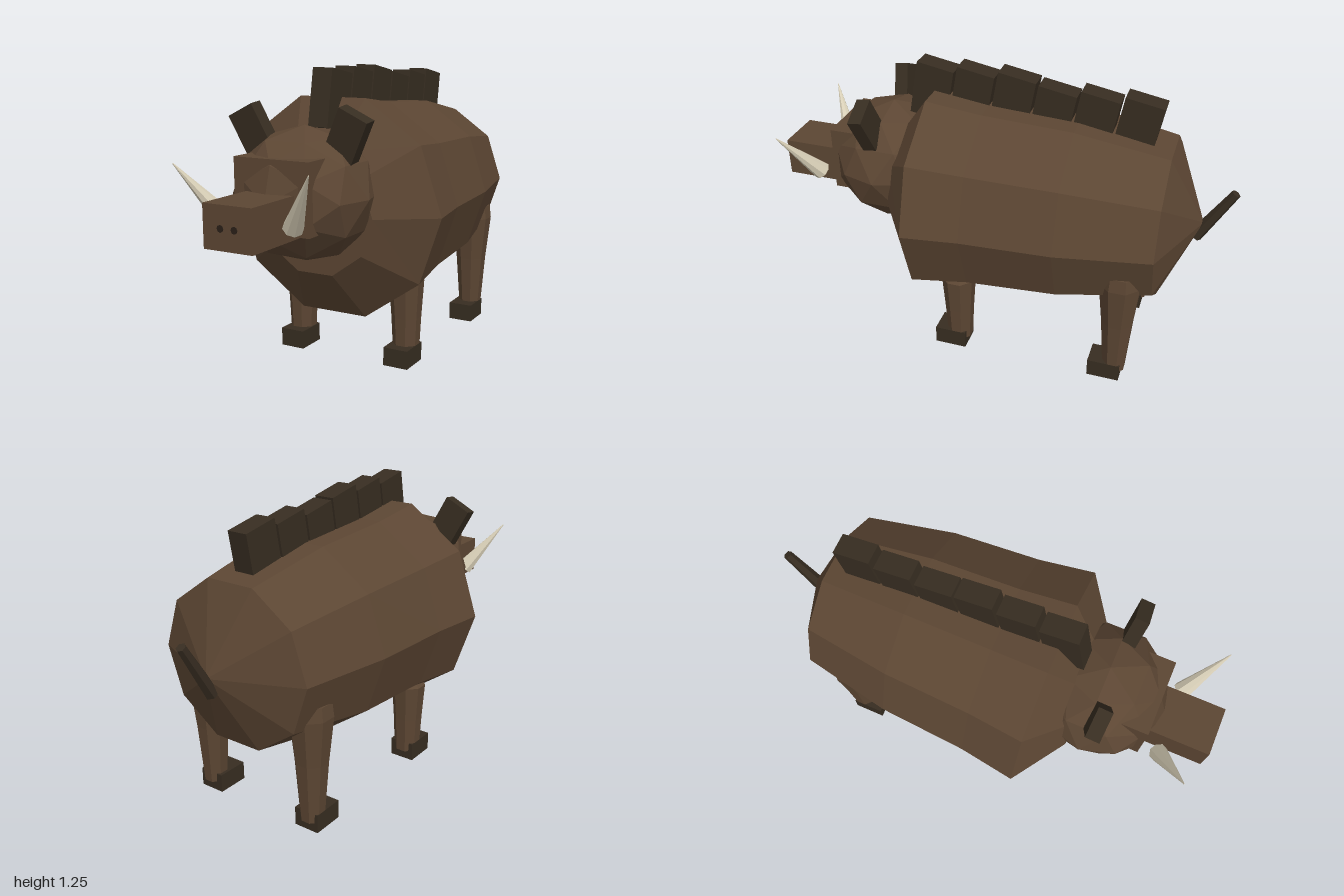
import * as THREE from 'three';

const paint = (name, color) => {
  const m = new THREE.MeshStandardMaterial({ color });
  m.name = name;
  return m;
};

// Faceted normals for every part
const facet = (geometry) => {
  const g = geometry.index ? geometry.toNonIndexed() : geometry;
  g.computeVertexNormals();
  return g;
};

// Closed skin through elliptical rings [z, centreY, radiusX, radiusY], front to back
function loft(rings, sides) {
  const pos = [], index = [];
  for (const [z, cy, rx, ry] of rings) {
    for (let i = 0; i < sides; i++) {
      const a = (i / sides) * Math.PI * 2;
      pos.push(rx * Math.cos(a), cy + ry * Math.sin(a), z);
    }
  }
  for (let r = 0; r < rings.length - 1; r++) {
    for (let i = 0; i < sides; i++) {
      const j = (i + 1) % sides;
      const a = r * sides + i, b = r * sides + j, c = a + sides, d = b + sides;
      if (rings[r][2] > 0) index.push(a, c, b);
      if (rings[r + 1][2] > 0) index.push(b, c, d);
    }
  }
  const g = new THREE.BufferGeometry();
  g.setAttribute('position', new THREE.Float32BufferAttribute(pos, 3));
  g.setIndex(index);
  return g;
}

export function createModel() {
  const model = new THREE.Group();
  model.name = 'boar';
  const hide = paint('brown hide', 0x5c4633);
  const bristle = paint('dark bristle', 0x372d21);
  const ivory = paint('ivory', 0xd9d0b8);
  const nostrilDark = paint('nostril dark', 0x2a2018);

  const add = (name, geometry, material, x = 0, y = 0, z = 0) => {
    const mesh = new THREE.Mesh(facet(geometry), material);
    mesh.name = name;
    mesh.position.set(x, y, z);
    model.add(mesh);
    return mesh;
  };
  const box = (name, w, h, d, material, x, y, z) =>
    add(name, new THREE.BoxGeometry(w, h, d), material, x, y, z);

  // Tapered rod running from one point to another
  const rod = (name, from, to, r0, r1, sides, material) => {
    const a = new THREE.Vector3(...from), b = new THREE.Vector3(...to);
    const dir = b.clone().sub(a);
    const mid = a.clone().add(b).multiplyScalar(0.5);
    const mesh = add(name, new THREE.CylinderGeometry(r1, r0, dir.length(), sides),
      material, mid.x, mid.y, mid.z);
    mesh.quaternion.setFromUnitVectors(new THREE.Vector3(0, 1, 0), dir.normalize());
  };

  // Barrel body
  add('body', loft([
    [0.44, 0.68, 0, 0],
    [0.44, 0.68, 0.265, 0.262],
    [0.29, 0.68, 0.49, 0.476],
    [0.05, 0.68, 0.455, 0.442],
    [-0.33, 0.68, 0.43, 0.42],
    [-0.72, 0.68, 0.355, 0.347],
    [-0.87, 0.68, 0, 0],
  ], 10), hide);

  // Head, muzzle plate and snout
  add('head', new THREE.IcosahedronGeometry(1, 1).scale(0.285, 0.27, 0.28), hide, 0, 0.77, 0.5);
  box('muzzle', 0.33, 0.28, 0.24, hide, 0, 0.795, 0.615);
  box('snout', 0.21, 0.165, 0.34, hide, 0, 0.7275, 0.828);

  // Ears, tusks and nostrils
  for (const s of [1, -1]) {
    const side = s > 0 ? 'left' : 'right';
    const ear = box(side + 'Ear', 0.127, 0.18, 0.06, bristle, s * 0.215, 1.015, 0.533);
    ear.rotation.set(0.12, 0, -s * 0.45);
    rod(side + 'Tusk', [s * 0.147, 0.708, 0.812], [s * 0.29, 0.925, 0.93], 0.04, 0.002, 8, ivory);
    add(side + 'Nostril', new THREE.CylinderGeometry(0.014, 0.014, 0.006, 8).rotateX(Math.PI / 2),
      nostrilDark, s * 0.03, 0.725, 0.997);
  }

  // Bristle blocks along the spine, taller over the shoulders
  for (let i = 0; i < 6; i++) {
    const block = box('maneBlock', 0.09, i < 3 ? 0.237 : 0.165, 0.162, bristle,
      0, 1.122, 0.305 - i * 0.176);
    block.rotation.x = -0.18;
  }

  // Tail
  rod('tail', [0, 0.61, -0.842], [0, 0.842, -0.98], 0.03, 0.02, 6, bristle);

  // Legs and hooves
  const legs = [
    ['front', 0.26, 0.125, 0.155, [[0, 0.04], [0.056, 0.04], [0.064, 0.2], [0.075, 0.36], [0.05, 0.39], [0, 0.39]]],
    ['hind', 0.265, -0.588, -0.55, [[0, 0.04], [0.05, 0.04], [0.07, 0.3], [0.092, 0.5], [0.085, 0.56], [0, 0.56]]],
  ];
  for (const [name, x, legZ, hoofZ, profile] of legs) {
    for (const s of [1, -1]) {
      const points = profile.map(([r, y]) => new THREE.Vector2(r, y));
      add(name + 'Leg', new THREE.LatheGeometry(points, 8, Math.PI / 8), hide, s * x, 0, legZ);
      box(name + 'Hoof', 0.112, 0.08, 0.14, bristle, s * 0.258, 0.04, hoofZ);
    }
  }
  return model;
}
